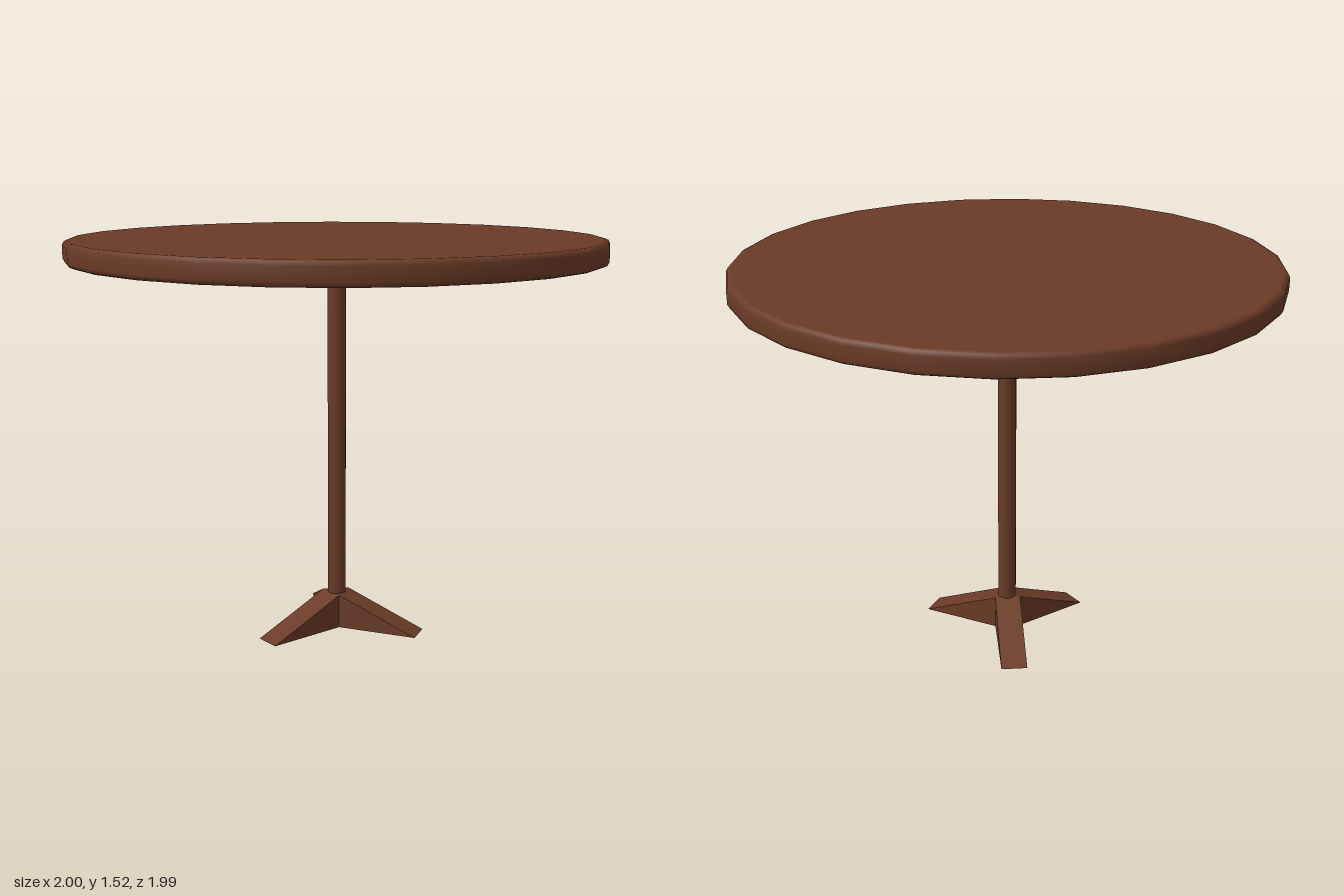
import * as THREE from 'three';

const wood = new THREE.MeshStandardMaterial({ color: 0x6b3b27 });
wood.name = 'brown wood';
wood.side = THREE.DoubleSide;

function add(parent, name, geometry) {
  const mesh = new THREE.Mesh(geometry, wood);
  mesh.name = name;
  parent.add(mesh);
  return mesh;
}

// Wedge running out along +z: upright inner end, sloping top, sharp tip
function legGeometry(w, h, inner, tip) {
  const A = [-w, h, inner], B = [w, h, inner];
  const C = [-w, 0, inner], D = [w, 0, inner];
  const E = [-w, 0, tip], F = [w, 0, tip];
  const triangles = [
    A, E, F, A, F, B, // sloping top
    C, D, F, C, F, E, // underside
    B, F, D, A, C, E, // sides
  ];
  const g = new THREE.BufferGeometry();
  g.setAttribute('position', new THREE.Float32BufferAttribute(triangles.flat(), 3));
  g.computeVertexNormals();
  return g;
}

export function createModel() {
  const table = new THREE.Group();
  table.name = 'pedestalTable';

  // Round top: softened rim plus flat faces
  const sides = 26, low = 1.432, high = 1.516, flat = 0.982;
  const rim = [
    [flat, low], [0.993, low + 0.005], [1, low + 0.018],
    [1, high - 0.018], [0.993, high - 0.005], [flat, high],
  ].map(([r, y]) => new THREE.Vector2(r, y));
  const top = new THREE.Group();
  top.name = 'tableTop';
  add(top, 'topRim', new THREE.LatheGeometry(rim, sides).rotateY(Math.PI / 2));
  add(top, 'topFace', new THREE.CircleGeometry(flat, sides).rotateX(-Math.PI / 2)).position.y = high;
  add(top, 'topUnderside', new THREE.CircleGeometry(flat, sides).rotateX(Math.PI / 2)).position.y = low;
  table.add(top);

  // Central column
  const postBottom = 0.08;
  const post = new THREE.CylinderGeometry(0.035, 0.035, low - postBottom, 16);
  add(table, 'column', post).position.y = (low + postBottom) / 2;

  // Three-legged foot around a triangular hub
  const w = 0.05, h = 0.132, inner = w / Math.sqrt(3);
  const foot = new THREE.Group();
  foot.name = 'foot';
  for (let i = 0; i < 3; i++) {
    add(foot, 'leg', legGeometry(w, h, inner, 0.34)).rotation.y = Math.PI + (i * Math.PI * 2) / 3;
  }
  const hub = new THREE.CircleGeometry(inner * 2, 3, -Math.PI / 2).rotateX(-Math.PI / 2);
  add(foot, 'hubTop', hub).position.y = h;
  table.add(foot);

  return table;
}
